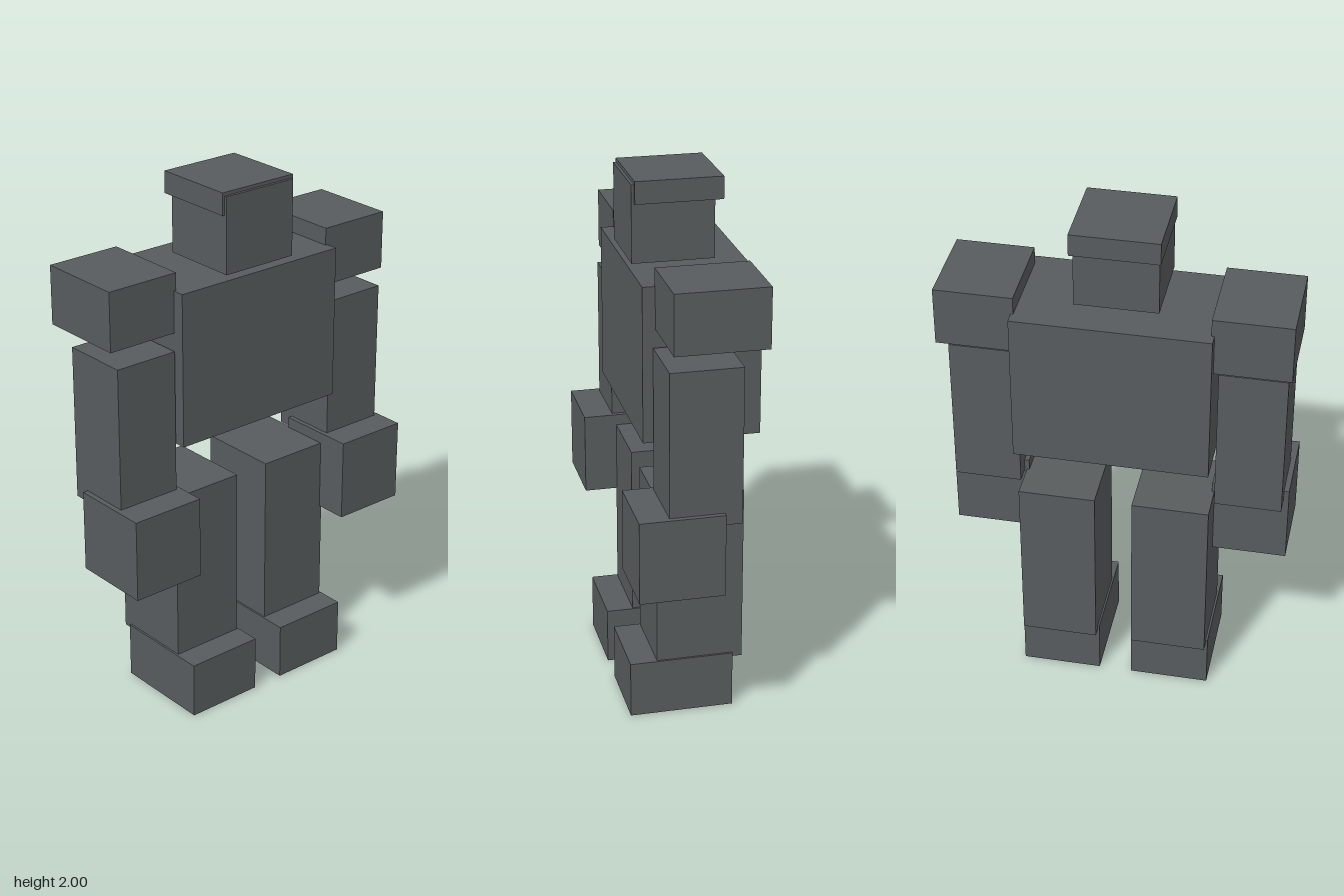
import * as THREE from 'three';

const darkGrey = new THREE.MeshStandardMaterial({ name: 'dark grey', color: 0x585c5e });

// Box spanning the given [min, max] range on each axis
function block(name, [x0, x1], [y0, y1], [z0, z1]) {
  const mesh = new THREE.Mesh(new THREE.BoxGeometry(x1 - x0, y1 - y0, z1 - z0), darkGrey);
  mesh.name = name;
  mesh.position.set((x0 + x1) / 2, (y0 + y1) / 2, (z0 + z1) / 2);
  return mesh;
}

export function createModel() {
  const model = new THREE.Group();
  model.name = 'blockFigure';

  // Body and head
  model.add(
    block('torso', [-0.36, 0.358], [1.10, 1.682], [-0.253, 0.177]),
    block('head', [-0.154, 0.151], [1.70, 1.987], [-0.133, 0.169]),
    block('headCap', [-0.163, 0.16], [1.917, 2.0], [-0.163, 0.158])
  );

  // Paired limb parts: name, inner and outer x, y range, z range
  const limbs = [
    ['Shoulder', [0.349, 0.637], [1.525, 1.747], [-0.208, 0.131]],
    ['Arm', [0.367, 0.617], [0.875, 1.46], [-0.122, 0.141]],
    ['Hand', [0.349, 0.637], [0.609, 0.921], [-0.058, 0.253]],
    ['Leg', [0.07, 0.358], [0.20, 0.879], [-0.197, 0.128]],
    ['Foot', [0.063, 0.366], [0, 0.217], [-0.16, 0.23]],
  ];
  for (const [part, [inner, outer], y, z] of limbs) {
    model.add(block('left' + part, [inner, outer], y, z));
    model.add(block('right' + part, [-outer, -inner], y, z));
  }
  return model;
}
